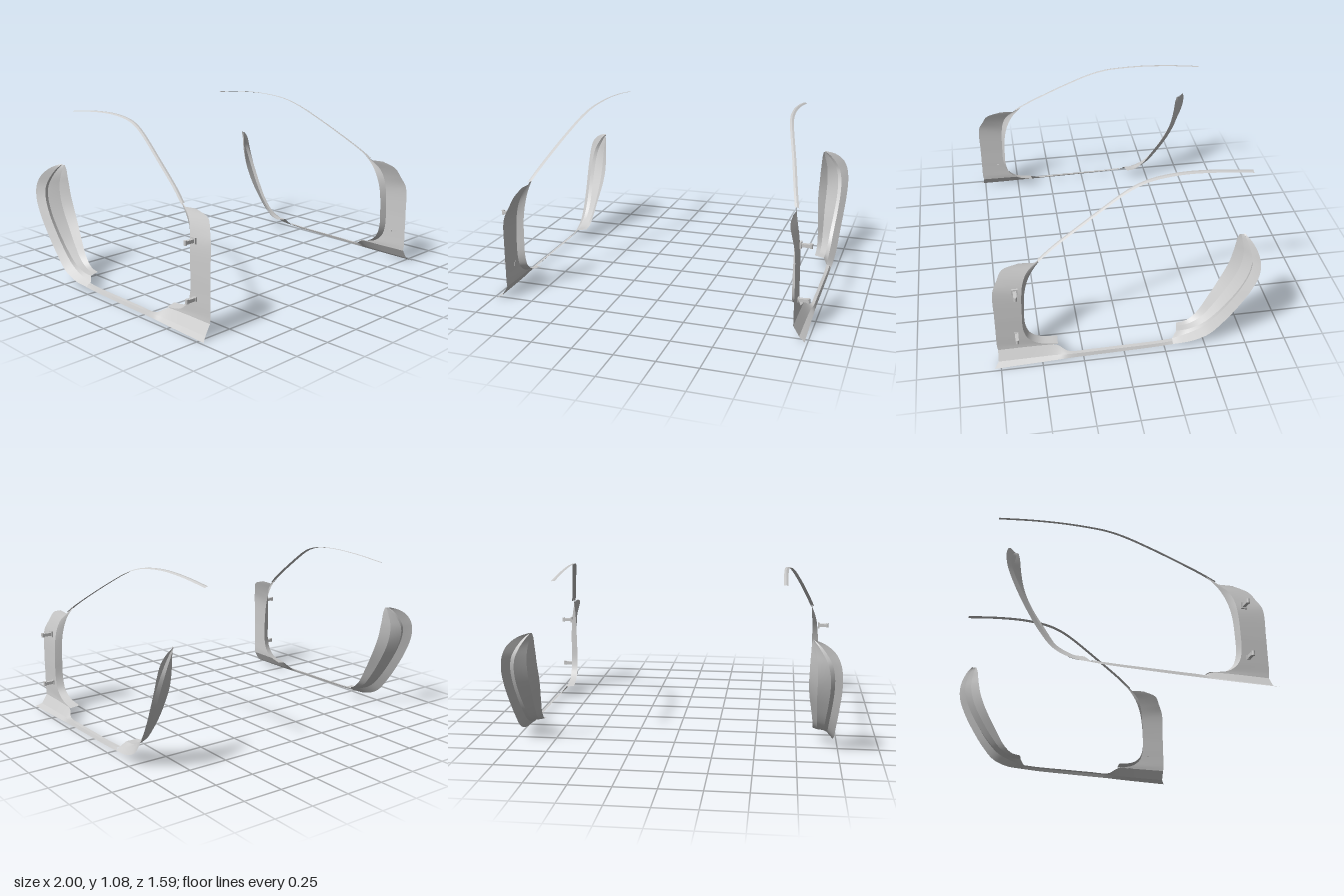
import * as THREE from 'three';
import { mergeGeometries } from 'three/addons/utils/BufferGeometryUtils.js';

const material = new THREE.MeshStandardMaterial({ color: 0xcccccc, side: THREE.DoubleSide });

// Ruled strip between two smooth edge curves with matching control points
function strip(a, b, n) {
  const [ca, cb] = [a, b].map(p => new THREE.CatmullRomCurve3(p.map(v => new THREE.Vector3(...v))));
  const pos = [], idx = [];
  for (let i = 0; i <= n; i++) {
    pos.push(...ca.getPoint(i / n).toArray(), ...cb.getPoint(i / n).toArray());
    if (i < n) {
      const k = i * 2;
      idx.push(k, k + 1, k + 2, k + 1, k + 3, k + 2);
    }
  }
  const g = new THREE.BufferGeometry();
  g.setAttribute('position', new THREE.Float32BufferAttribute(pos, 3));
  g.setIndex(idx);
  g.computeVertexNormals();
  return g;
}

// Neighbouring edge curves joined by strips, with a crease along each curve
function panel(name, curves, n = 50) {
  const strips = curves.slice(1).map((c, i) => strip(curves[i], c, n));
  const mesh = new THREE.Mesh(mergeGeometries(strips), material);
  mesh.name = name;
  return mesh;
}

// Front pillar edges: leading edge, opening edge, inner flange edge
const leading = [[.855, .69, .6], [.86, .657, .7], [.88, .6, .733], [.902, .53, .763],
  [.91, .35, .765], [.91, .25, .765], [.91, .18, .765], [.91, .12, .765], [.91, .08, .76]];
const opening = [[.857, .685, .51], [.878, .63, .562], [.893, .57, .587], [.904, .49, .599],
  [.91, .35, .604], [.91, .22, .601], [.91, .15, .576], [.908, .1, .515], [.91, .077, .4]];
const flange = [[.845, .74, .43], [.856, .66, .505], [.861, .585, .548], [.865, .49, .576],
  [.865, .35, .588], [.865, .22, .585], [.863, .15, .558], [.858, .108, .5], [.85, .087, .395]];

// Sill edges from front to back
const sillInner = [[.91, .08, .76], [.91, .08, .55], [.912, .074, .41], [.938, .037, .34],
  [.943, .036, .2], [.943, .038, 0], [.942, .04, -.2], [.94, .045, -.3]];
const sillMiddle = [[.947, .02, .762], [.947, .022, .55], [.95, .025, .41], [.96, .03, .34],
  [.962, .032, .2], [.962, .034, 0], [.962, .037, -.2], [.96, .042, -.3]];
const sillOuter = [[.983, 0, .787], [.976, .003, .55], [.973, .006, .41], [.971, .008, .34],
  [.97, .01, .2], [.97, .014, 0], [.97, .019, -.2], [.97, .025, -.3]];

// Rear pillar edges: outer rim, step, seal channel, inner edge
const rim = [[.97, .025, -.3], [.972, .037, -.42], [.975, .08, -.52], [.98, .17, -.6],
  [.99, .3, -.683], [.998, .42, -.745], [.997, .52, -.783], [.984, .6, -.793],
  [.955, .66, -.783], [.9, .705, -.76], [.835, .727, -.73]];
const step = [[.94, .045, -.3], [.938, .072, -.4], [.938, .115, -.49], [.942, .195, -.567],
  [.952, .315, -.645], [.958, .425, -.703], [.954, .52, -.742], [.938, .59, -.757],
  [.908, .645, -.752], [.868, .695, -.738], [.832, .725, -.722]];
const channel = [[.915, .08, -.33], [.915, .085, -.405], [.915, .122, -.495], [.918, .2, -.575],
  [.928, .317, -.655], [.934, .425, -.713], [.93, .52, -.75], [.915, .587, -.763],
  [.89, .64, -.757], [.857, .69, -.741], [.83, .723, -.721]];
const inner = [[.85, .085, -.345], [.85, .1, -.41], [.846, .155, -.47], [.834, .25, -.53],
  [.817, .37, -.6], [.812, .45, -.638], [.813, .52, -.662], [.815, .6, -.678],
  [.818, .65, -.685], [.82, .69, -.69], [.825, .722, -.7]];

// Shallow hollow between the channel and the inner edge, fading out at both ends
const hollow = channel.map((c, i) => {
  const depth = .018 * Math.sin(Math.PI * i / (channel.length - 1));
  const [x, y, z] = c.map((v, k) => v + (inner[i][k] - v) * .6);
  return [x, y - depth * .5, z - depth];
});

// Roof rail centre line
const rail = [[.857, .7, .49], [.831, .765, .4], [.78, .887, .2], [.753, .945, .1], [.726, 1, 0],
  [.706, 1.036, -.08], [.69, 1.06, -.16], [.677, 1.073, -.25], [.667, 1.08, -.4],
  [.664, 1.07, -.6], [.664, 1.048, -.8]];
const railEdge = (dx, dy) => rail.map(([x, y, z]) => [x + dx, y + dy, z]);

// Door hinge: base on the pillar, arm and upright pin
function hinge(y, z, size) {
  const g = new THREE.Group();
  g.name = 'hinge';
  const add = (name, geo, x) => {
    const m = new THREE.Mesh(geo, material);
    m.name = name;
    m.position.x = x;
    g.add(m);
  };
  add('hingeBase', new THREE.BoxGeometry(.01, size, size), .913);
  add('hingeArm', new THREE.BoxGeometry(.06, .02, .02), .945);
  add('hingePin', new THREE.CylinderGeometry(.01, .01, .028, 12), .973);
  g.position.set(0, y, z);
  return g;
}

function doorFrame() {
  const g = new THREE.Group();
  g.add(
    panel('frontPillar', [leading, opening, flange]),
    panel('sill', [sillInner, sillMiddle, sillOuter]),
    panel('rearPillar', [rim, step, channel, hollow, inner], 60),
    panel('roofRail', [railEdge(.013, -.004), railEdge(0, .002), railEdge(-.013, .001)], 60),
    hinge(.53, .637, .038),
    hinge(.195, .643, .026),
  );
  return g;
}

export function createModel() {
  const model = new THREE.Group();
  model.name = 'doorFrames';
  for (const [name, side] of [['leftDoorFrame', 1], ['rightDoorFrame', -1]]) {
    const frame = doorFrame();
    frame.name = name;
    frame.scale.x = side;
    model.add(frame);
  }
  return model;
}
